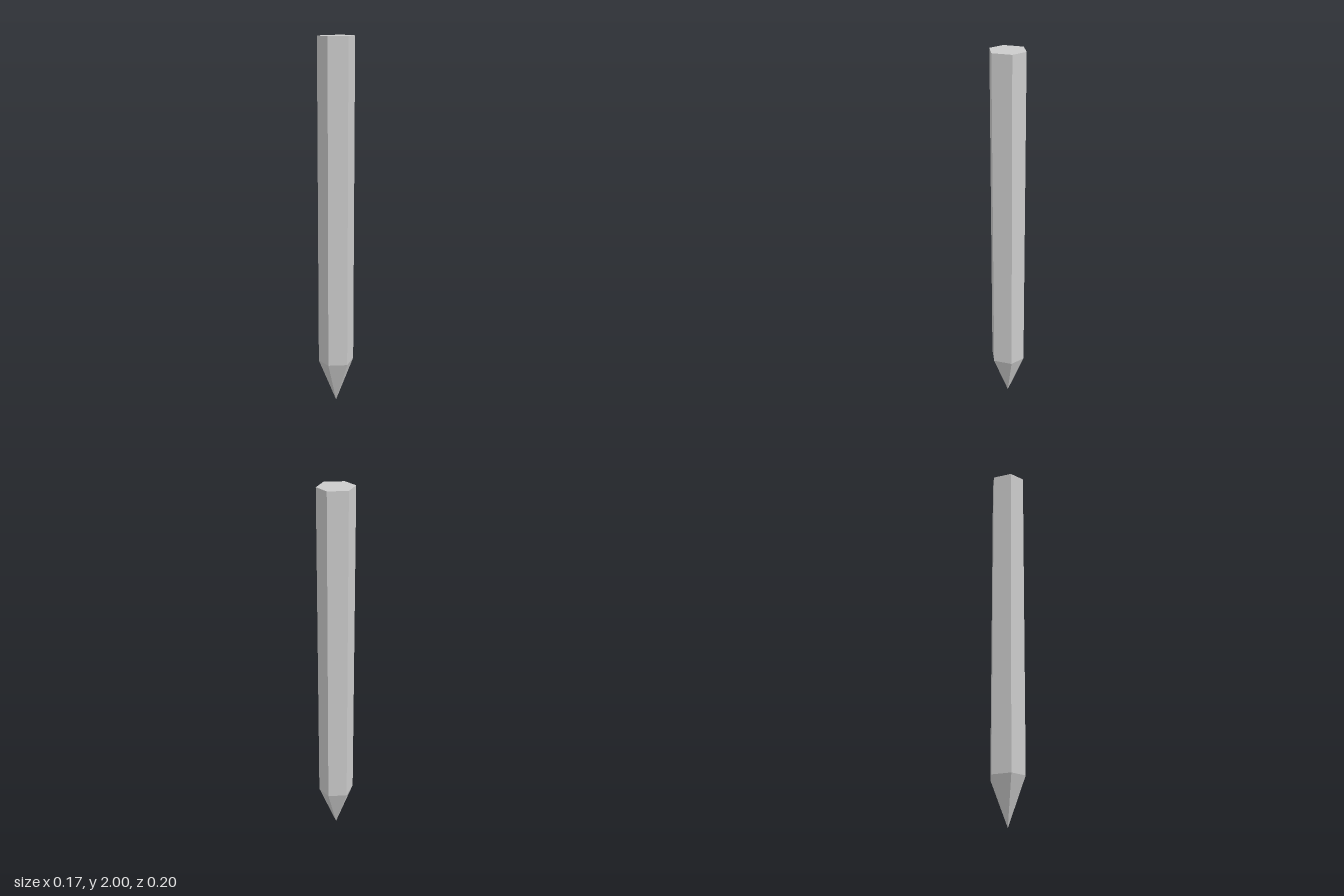
import * as THREE from 'three';

const RADIUS = 0.1;
const SHOULDER = 0.247; // height where the point begins
const HEIGHT = 2;

// Six-sided section with ridges at front and back, side faces slightly narrowed
function hexSection(top, bottom, y0, y1, open) {
  const geometry = new THREE.CylinderGeometry(top, bottom, y1 - y0, 6, 1, open);
  geometry.translate(0, (y0 + y1) / 2, 0);
  const p = geometry.attributes.position;
  for (let i = 0; i < p.count; i++) {
    if (Math.abs(p.getX(i)) > 0.01) p.setZ(i, p.getZ(i) * 0.88);
  }
  geometry.computeVertexNormals();
  return geometry;
}

export function createModel() {
  const group = new THREE.Group();
  group.name = 'hexagonalStake';
  const material = new THREE.MeshStandardMaterial({ color: 0xcccccc, flatShading: true });

  const add = (name, geometry) => {
    const mesh = new THREE.Mesh(geometry, material);
    mesh.name = name;
    group.add(mesh);
  };

  // Straight shaft, with its top face
  const shaft = hexSection(RADIUS, RADIUS, SHOULDER, HEIGHT, false);
  // Drop the hidden bottom cap, which comes last (6 triangles)
  shaft.setIndex(Array.from(shaft.index.array).slice(0, -18));
  add('shaft', shaft);

  // Sharpened point
  add('point', hexSection(RADIUS, 0, 0, SHOULDER, true));

  return group;
}
